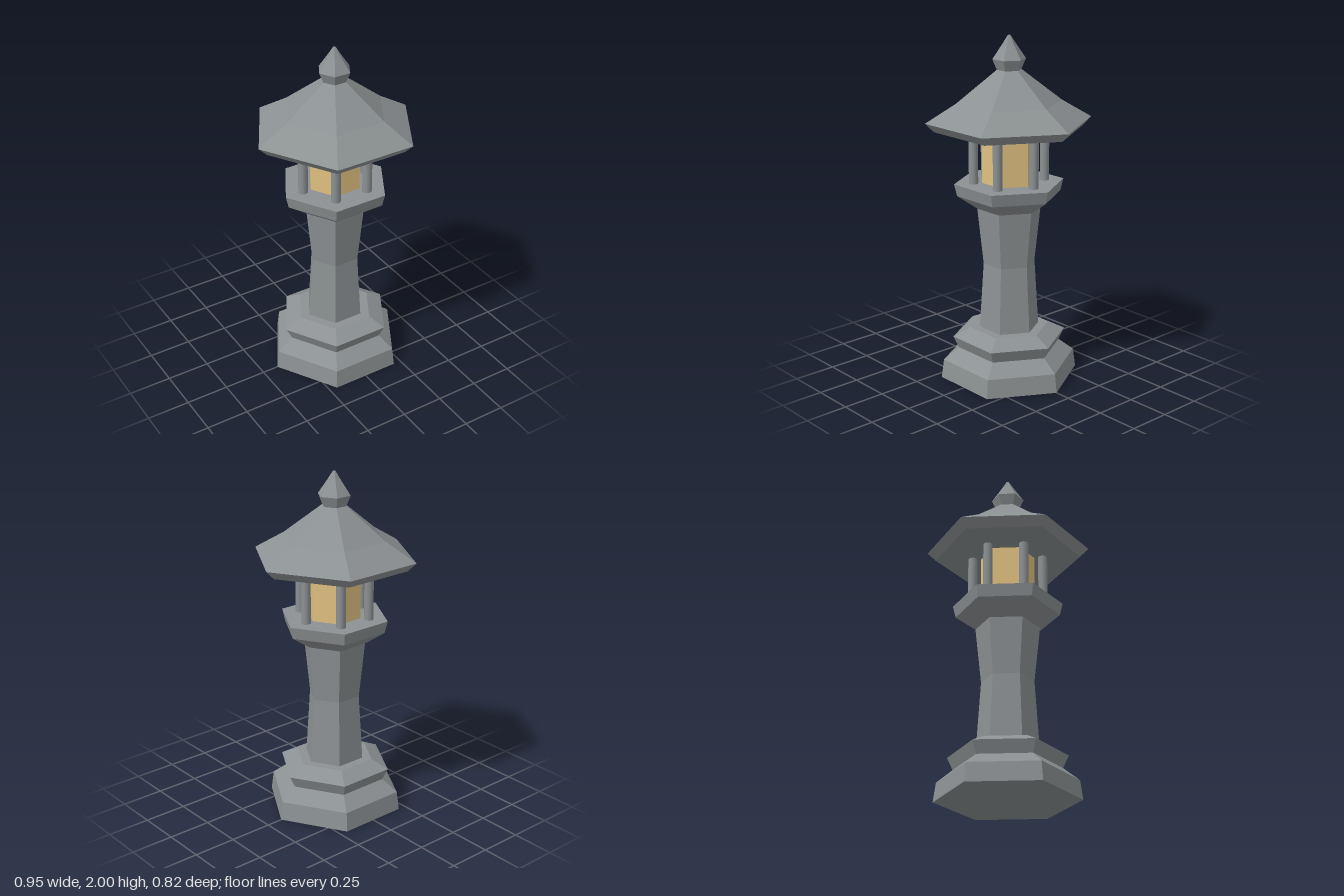
import * as THREE from 'three';

const stone = new THREE.MeshStandardMaterial({ color: 0x8c9193 });
stone.name = 'stone grey';
const paper = new THREE.MeshStandardMaterial({ color: 0xe0c080 });
paper.name = 'warm lamp';

// Closed six-sided solid with corners on the x axis, from [radius, height] pairs, bottom to top
function hexSolid(name, profile, material = stone) {
  const points = [
    [0, profile[0][1]],
    ...profile,
    [0, profile[profile.length - 1][1]],
  ].map(([r, y]) => new THREE.Vector2(r, y));
  const geometry = new THREE.LatheGeometry(points, 6, Math.PI / 2).toNonIndexed();
  geometry.computeVertexNormals(); // flat facets
  const mesh = new THREE.Mesh(geometry, material);
  mesh.name = name;
  return mesh;
}

export function createModel() {
  const lantern = new THREE.Group();
  lantern.name = 'stoneLantern';

  lantern.add(
    hexSolid('base', [[0.405, 0], [0.39, 0.11], [0.30, 0.18], [0.333, 0.25], [0.233, 0.30]]),
    hexSolid('shaft', [[0.175, 0.30], [0.15, 0.69], [0.185, 1.02]]),
    hexSolid('platform', [[0.185, 1.02], [0.30, 1.10], [0.317, 1.17]]),
    hexSolid('lampBox', [[0.157, 1.17], [0.157, 1.475]], paper),
    hexSolid('roof', [[0.425, 1.475], [0.475, 1.525], [0.30, 1.63], [0.07, 1.81]]),
    hexSolid('finial', [[0.07, 1.81], [0.095, 1.87], [0.04, 1.95], [0.008, 2.0]]),
  );

  // Round pillars at the six corners of the lamp box
  const pillarGeometry = new THREE.CylinderGeometry(0.027, 0.027, 0.305, 12);
  const pillars = new THREE.Group();
  pillars.name = 'pillars';
  for (let i = 0; i < 6; i++) {
    const a = (i * Math.PI) / 3;
    const pillar = new THREE.Mesh(pillarGeometry, stone);
    pillar.name = 'pillar';
    pillar.position.set(0.205 * Math.cos(a), 1.3225, 0.205 * Math.sin(a));
    pillars.add(pillar);
  }
  lantern.add(pillars);
  return lantern;
}
